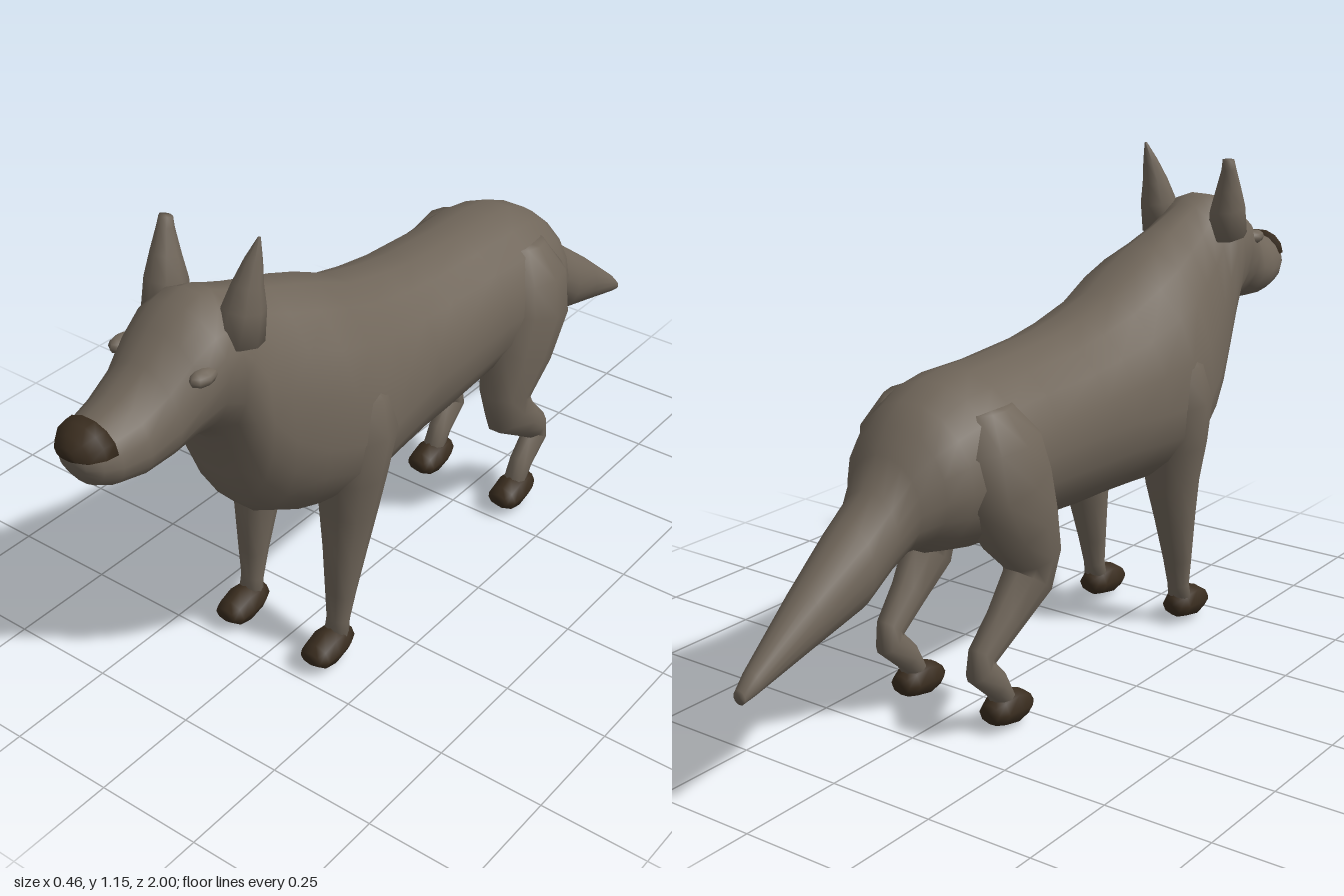
import * as THREE from 'three';

const fur = new THREE.MeshStandardMaterial({ color: 0x70665a });
fur.name = 'grey brown fur';
const dark = new THREE.MeshStandardMaterial({ color: 0x3a2d1f });
dark.name = 'dark brown';

// Closed smooth skin over a list of rings, each with the same number of points
function skin(name, rings, material) {
  const n = rings[0].length, pos = [], index = [];
  rings.forEach(r => r.forEach(p => pos.push(p.x, p.y, p.z)));
  for (let k = 0; k < rings.length - 1; k++) {
    for (let i = 0; i < n; i++) {
      const a = k * n + i, b = k * n + (i + 1) % n;
      index.push(a, b, a + n, b, b + n, a + n);
    }
  }
  const last = (rings.length - 1) * n, c = rings.length * n;
  for (const r of [rings[0], rings[rings.length - 1]]) {
    const m = new THREE.Vector3();
    r.forEach(p => m.addScaledVector(p, 1 / n));
    pos.push(m.x, m.y, m.z);
  }
  for (let i = 0; i < n; i++) {
    const j = (i + 1) % n;
    index.push(c, j, i, c + 1, last + i, last + j);
  }
  const g = new THREE.BufferGeometry();
  g.setAttribute('position', new THREE.Float32BufferAttribute(pos, 3));
  g.setIndex(index);
  g.computeVertexNormals();
  const mesh = new THREE.Mesh(g, material);
  mesh.name = name;
  return mesh;
}

// Upright rings along z: [z, top, bottom, halfWidth, height of widest point]
function alongZ(name, rows, material, sides, x = 0) {
  return skin(name, rows.map(([z, top, bottom, w, mid = (top + bottom) / 2]) =>
    Array.from({ length: sides }, (_, i) => {
      const t = i / sides * Math.PI * 2, s = Math.sin(t);
      return new THREE.Vector3(x + w * Math.cos(t), mid + s * (s > 0 ? top - mid : mid - bottom), z);
    })), material);
}

// Rings square to a bent path: [x, y, z, half width, half depth]
function limb(name, rows, side, sides = 10) {
  const across = new THREE.Vector3(1, 0, 0);
  const pts = rows.map(r => new THREE.Vector3(r[0] * side, r[1], r[2]));
  return skin(name, rows.map((r, k) => {
    const dir = pts[Math.min(k + 1, pts.length - 1)].clone().sub(pts[Math.max(k - 1, 0)]);
    const depth = dir.setX(0).normalize().cross(across);
    return Array.from({ length: sides }, (_, i) => {
      const t = i / sides * Math.PI * 2;
      return pts[k].clone().addScaledVector(across, r[3] * Math.cos(t)).addScaledVector(depth, r[4] * Math.sin(t));
    });
  }), fur);
}

function paw(name, x, z) {
  return alongZ(name, [
    [z - 0.06, 0.07, 0.025, 0.027],
    [z - 0.035, 0.08, 0.01, 0.038],
    [z + 0.01, 0.086, 0, 0.042],
    [z + 0.045, 0.072, 0.01, 0.04],
    [z + 0.064, 0.06, 0.028, 0.028],
  ], dark, 8, x);
}

export function createModel() {
  const model = new THREE.Group();
  model.name = 'wolf';

  // Tail, trunk, neck and head in one continuous skin
  model.add(alongZ('body', [
    [-1.0, 0.305, 0.275, 0.016],
    [-0.97, 0.335, 0.282, 0.024],
    [-0.82, 0.455, 0.325, 0.052],
    [-0.69, 0.55, 0.362, 0.076],
    [-0.62, 0.598, 0.41, 0.08],
    [-0.57, 0.66, 0.445, 0.1, 0.55],
    [-0.53, 0.715, 0.45, 0.135, 0.57],
    [-0.48, 0.75, 0.425, 0.162, 0.58],
    [-0.41, 0.78, 0.41, 0.182, 0.59],
    [-0.33, 0.79, 0.405, 0.192, 0.6],
    [-0.2, 0.792, 0.405, 0.182, 0.6],
    [-0.02, 0.803, 0.39, 0.188, 0.6],
    [0.08, 0.82, 0.388, 0.192, 0.6],
    [0.2, 0.852, 0.383, 0.2, 0.59],
    [0.3, 0.9, 0.378, 0.215, 0.59],
    [0.38, 0.932, 0.385, 0.21, 0.6],
    [0.46, 0.96, 0.405, 0.182, 0.62],
    [0.53, 0.985, 0.44, 0.158, 0.67],
    [0.58, 1.005, 0.495, 0.142, 0.74],
    [0.615, 1.02, 0.58, 0.138, 0.83],
    [0.645, 1.024, 0.685, 0.136, 0.88],
    [0.69, 1.012, 0.73, 0.13, 0.89],
    [0.745, 0.98, 0.738, 0.118, 0.86],
    [0.8, 0.932, 0.73, 0.104, 0.82],
    [0.87, 0.895, 0.726, 0.092, 0.8],
    [0.93, 0.878, 0.737, 0.078, 0.8],
    [0.965, 0.86, 0.755, 0.062, 0.805],
    [0.985, 0.83, 0.785, 0.035],
  ], fur, 18));

  // Flat-bottomed nose
  model.add(alongZ('nose', [
    [0.935, 0.884, 0.82, 0.072, 0.83],
    [0.96, 0.882, 0.82, 0.066, 0.828],
    [0.985, 0.868, 0.82, 0.047, 0.826],
    [1.0, 0.85, 0.824, 0.024, 0.83],
  ], dark, 14));

  for (const side of [1, -1]) {
    const s = side > 0 ? 'left' : 'right';

    // Pointed left ear, torn right ear with a blunt tip
    const ear = [
      [0.095, 0.93, 0.62, 0.046, 0.055],
      [0.1, 1.0, 0.608, 0.044, 0.045],
      [0.105, 1.05, 0.6, 0.032, 0.031],
      [0.112, 1.1, 0.588, 0.019, 0.017],
    ];
    ear.push(side > 0 ? [0.12, 1.145, 0.578, 0.003, 0.003] : [0.112, 1.122, 0.585, 0.016, 0.012]);
    model.add(limb(s + 'Ear', ear, side, 8));

    // Brow ridge
    const brow = new THREE.Mesh(new THREE.SphereGeometry(1, 8, 6), fur);
    brow.name = s + 'Brow';
    brow.scale.set(0.022, 0.018, 0.035);
    brow.position.set(side * 0.104, 0.91, 0.735);
    model.add(brow);

    // Straight foreleg growing out of the shoulder
    model.add(limb(s + 'Foreleg', [
      [0.12, 0.76, 0.31, 0.04, 0.05],
      [0.132, 0.68, 0.315, 0.078, 0.085],
      [0.136, 0.59, 0.32, 0.092, 0.095],
      [0.132, 0.48, 0.33, 0.08, 0.08],
      [0.128, 0.38, 0.335, 0.064, 0.066],
      [0.128, 0.28, 0.35, 0.049, 0.05],
      [0.127, 0.17, 0.367, 0.036, 0.032],
      [0.126, 0.1, 0.376, 0.028, 0.023],
      [0.126, 0.05, 0.385, 0.03, 0.025],
    ], side));
    model.add(paw(s + 'ForePaw', side * 0.125, 0.411));

    // Bent hind leg: thigh, knee, hock and ankle
    model.add(limb(s + 'HindLeg', [
      [0.11, 0.73, -0.36, 0.045, 0.06],
      [0.125, 0.66, -0.355, 0.082, 0.115],
      [0.132, 0.57, -0.345, 0.09, 0.13],
      [0.138, 0.47, -0.3, 0.078, 0.105],
      [0.142, 0.38, -0.257, 0.058, 0.076],
      [0.14, 0.325, -0.27, 0.05, 0.07],
      [0.134, 0.255, -0.345, 0.038, 0.048],
      [0.128, 0.195, -0.415, 0.03, 0.038],
      [0.126, 0.165, -0.422, 0.029, 0.037],
      [0.125, 0.11, -0.365, 0.027, 0.032],
      [0.125, 0.06, -0.335, 0.027, 0.028],
    ], side));
    model.add(paw(s + 'HindPaw', side * 0.125, -0.33));
  }
  return model;
}
